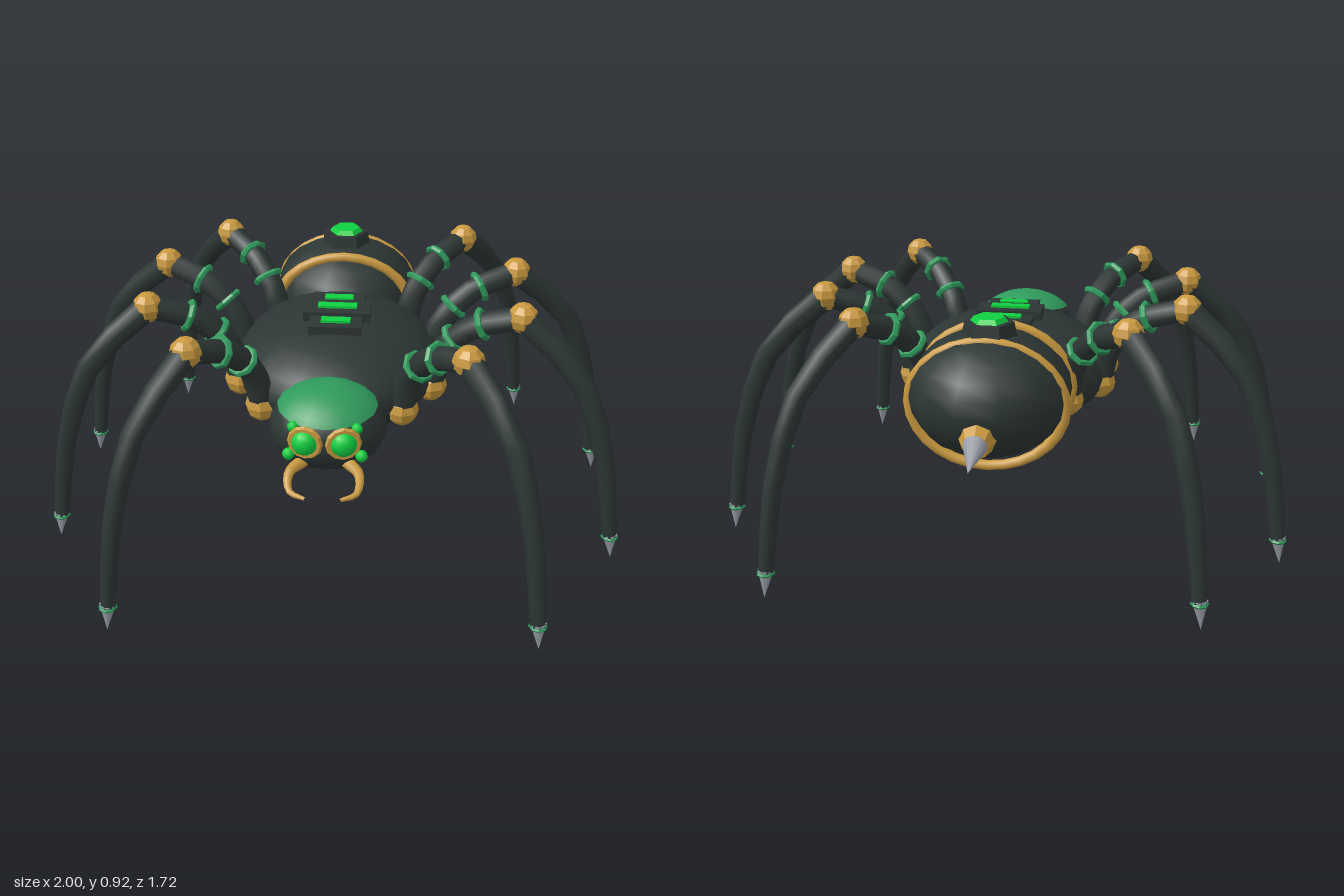
import * as THREE from 'three';

const mat = (name, color) => {
  const m = new THREE.MeshStandardMaterial({ color });
  m.name = name;
  return m;
};

export function createModel() {
  const model = new THREE.Group();
  model.name = 'mechanicalSpider';
  const shell = mat('dark shell', 0x2c3634);
  const gold = mat('gold', 0xc9993f);
  const green = mat('armour green', 0x2f9a5c);
  const glow = mat('bright green', 0x0fd040);
  const steel = mat('steel', 0x9a9ea8);

  const V = (x, y, z) => new THREE.Vector3(x, y, z);
  const add = (parent, name, geo, material, x = 0, y = 0, z = 0) => {
    const m = new THREE.Mesh(geo, material);
    m.name = name;
    m.position.set(x, y, z);
    parent.add(m);
    return m;
  };
  // Faceted copy of a geometry
  const flat = (geo) => {
    const g = geo.index ? geo.toNonIndexed() : geo;
    g.computeVertexNormals();
    return g;
  };
  const ellipsoid = (rx, ry, rz, w = 16, h = 12, turn = 0) =>
    new THREE.SphereGeometry(1, w, h).rotateY(turn).scale(rx, ry, rz);
  const ball = (r) => flat(new THREE.SphereGeometry(r, 8, 6));
  // Tube whose radius runs from r0 to r1
  const taperTube = (points, r0, r1, n, sides) => {
    const curve = new THREE.CatmullRomCurve3(points);
    const geo = new THREE.TubeGeometry(curve, n, 1, sides);
    const pos = geo.attributes.position, v = V(0, 0, 0);
    for (let i = 0; i < pos.count; i++) {
      const t = Math.floor(i / (sides + 1)) / n;
      const c = curve.getPointAt(t);
      v.fromBufferAttribute(pos, i).sub(c).multiplyScalar(r0 + (r1 - r0) * t).add(c);
      pos.setXYZ(i, v.x, v.y, v.z);
    }
    return { geo, curve };
  };
  const aim = (mesh, from, dir) => mesh.quaternion.setFromUnitVectors(from, dir.clone().normalize());

  // Thorax and belly
  add(model, 'thorax', ellipsoid(0.36, 0.185, 0.42, 20, 14), shell, 0, 0.595, 0.03);
  add(model, 'belly', ellipsoid(0.27, 0.1, 0.34, 20, 10), shell, 0, 0.495, 0.045);

  // Back panels with lit strips
  for (const [z, w, d, top, strip] of [
    [-0.045, 0.18, 0.1, 0.792, 0.1], [0.045, 0.23, 0.11, 0.802, 0.135], [0.14, 0.18, 0.1, 0.792, 0.1]]) {
    add(model, 'backPanel', new THREE.BoxGeometry(w, 0.06, d), shell, 0, top - 0.03, z);
    add(model, 'backLight', new THREE.BoxGeometry(strip, 0.009, 0.035), glow, 0, top + 0.004, z);
  }

  // Abdomen, gold bands, gem and stinger
  add(model, 'abdomen', ellipsoid(0.27, 0.205, 0.278, 12, 12, Math.PI / 12), shell, 0, 0.655, -0.432);
  for (const z of [-0.295, -0.505]) {
    add(model, 'abdomenBand', new THREE.TorusGeometry(0.252, 0.02, 8, 28).scale(1, 0.83, 1), gold, 0, 0.635, z);
  }
  const hex = (r0, r1, h) => flat(new THREE.CylinderGeometry(r0, r1, h, 6).rotateY(Math.PI / 6));
  add(model, 'gemMount', hex(0.08, 0.092, 0.06), shell, 0, 0.863, -0.435);
  add(model, 'gem', hex(0.05, 0.066, 0.02), glow, 0, 0.898, -0.435);
  const back = V(0, -0.25, -1);
  aim(add(model, 'stingerCollar', flat(new THREE.CylinderGeometry(0.04, 0.06, 0.05, 8)), gold, 0, 0.58, -0.705), V(0, 1, 0), back);
  aim(add(model, 'stinger', new THREE.ConeGeometry(0.04, 0.135, 10), steel, 0, 0.567, -0.793), V(0, 1, 0), back);

  // Head and armour cap
  add(model, 'head', ellipsoid(0.19, 0.138, 0.165, 16, 12), shell, 0, 0.595, 0.495);
  add(model, 'headCap', new THREE.SphereGeometry(1, 16, 6, 0, Math.PI * 2, 0, 0.95).scale(0.198, 0.147, 0.175),
    green, 0, 0.596, 0.502).rotation.x = 0.1;

  // Eyes and curved fangs
  for (const s of [1, -1]) {
    add(model, 'mainEye', ellipsoid(0.043, 0.043, 0.035, 12, 8), glow, s * 0.06, 0.622, 0.655);
    add(model, 'eyeRing', flat(new THREE.TorusGeometry(0.047, 0.011, 6, 12)), gold, s * 0.06, 0.622, 0.655).rotation.y = s * 0.2;
    add(model, 'smallEye', new THREE.SphereGeometry(0.02, 8, 6), glow, s * 0.115, 0.565, 0.632);
    add(model, 'smallEye', new THREE.SphereGeometry(0.018, 8, 6), glow, s * 0.1, 0.66, 0.625);
    const fang = taperTube([V(s * 0.07, 0.53, 0.615), V(s * 0.11, 0.515, 0.665),
      V(s * 0.105, 0.478, 0.715), V(s * 0.055, 0.468, 0.738)], 0.022, 0.006, 10, 7);
    add(model, 'fang', fang.geo, gold);
  }

  // Legs: hip, knee and foot positions in x and z, mirrored
  const legs = [
    [0.235, 0.335, 0.435, 0.555, 0.685, 0.835],
    [0.33, 0.16, 0.62, 0.235, 0.97, 0.34],
    [0.33, -0.05, 0.62, -0.14, 0.97, -0.237],
    [0.235, -0.245, 0.44, -0.445, 0.7, -0.71],
  ];
  for (const s of [1, -1]) for (const [hx, hz, kx, kz, fx, fz] of legs) {
    const leg = new THREE.Group();
    leg.name = s > 0 ? 'leftLeg' : 'rightLeg';
    model.add(leg);
    const upAt = (f, y) => V(s * (hx + (kx - hx) * f), y, hz + (kz - hz) * f);
    const downAt = (f, y) => V(s * (kx + (fx - kx) * f), y, kz + (fz - kz) * f);

    add(leg, 'hip', ball(0.056), gold, s * hx, 0.57, hz);
    const upper = taperTube([upAt(0, 0.57), upAt(0.1, 0.7), upAt(0.45, 0.81), upAt(1, 0.87)], 0.045, 0.04, 8, 8);
    add(leg, 'upperLeg', upper.geo, shell);
    for (const t of [0.45, 0.7]) {
      const ring = add(leg, 'legRing', flat(new THREE.TorusGeometry(0.046, 0.012, 6, 8)), green);
      ring.position.copy(upper.curve.getPointAt(t));
      aim(ring, V(0, 0, 1), upper.curve.getTangentAt(t));
    }
    add(leg, 'knee', ball(0.052), gold, s * kx, 0.87, kz);
    const lower = taperTube([downAt(0, 0.87), downAt(0.55, 0.69), downAt(0.86, 0.4), downAt(1, 0.085)], 0.045, 0.026, 6, 8);
    add(leg, 'lowerLeg', lower.geo, shell);

    // Foot cuff and claw
    const cuff = add(leg, 'footCuff', flat(new THREE.TorusGeometry(0.024, 0.007, 5, 8)), green, s * fx, 0.088, fz);
    cuff.rotation.x = Math.PI / 2;
    const out = V(s * (fx - kx), 0, fz - kz).normalize().multiplyScalar(0.012);
    const claw = add(leg, 'claw', new THREE.ConeGeometry(0.027, 0.1, 8), steel, s * fx + out.x / 2, 0.05, fz + out.z / 2);
    aim(claw, V(0, 1, 0), V(out.x, -0.1, out.z));
  }
  return model;
}
